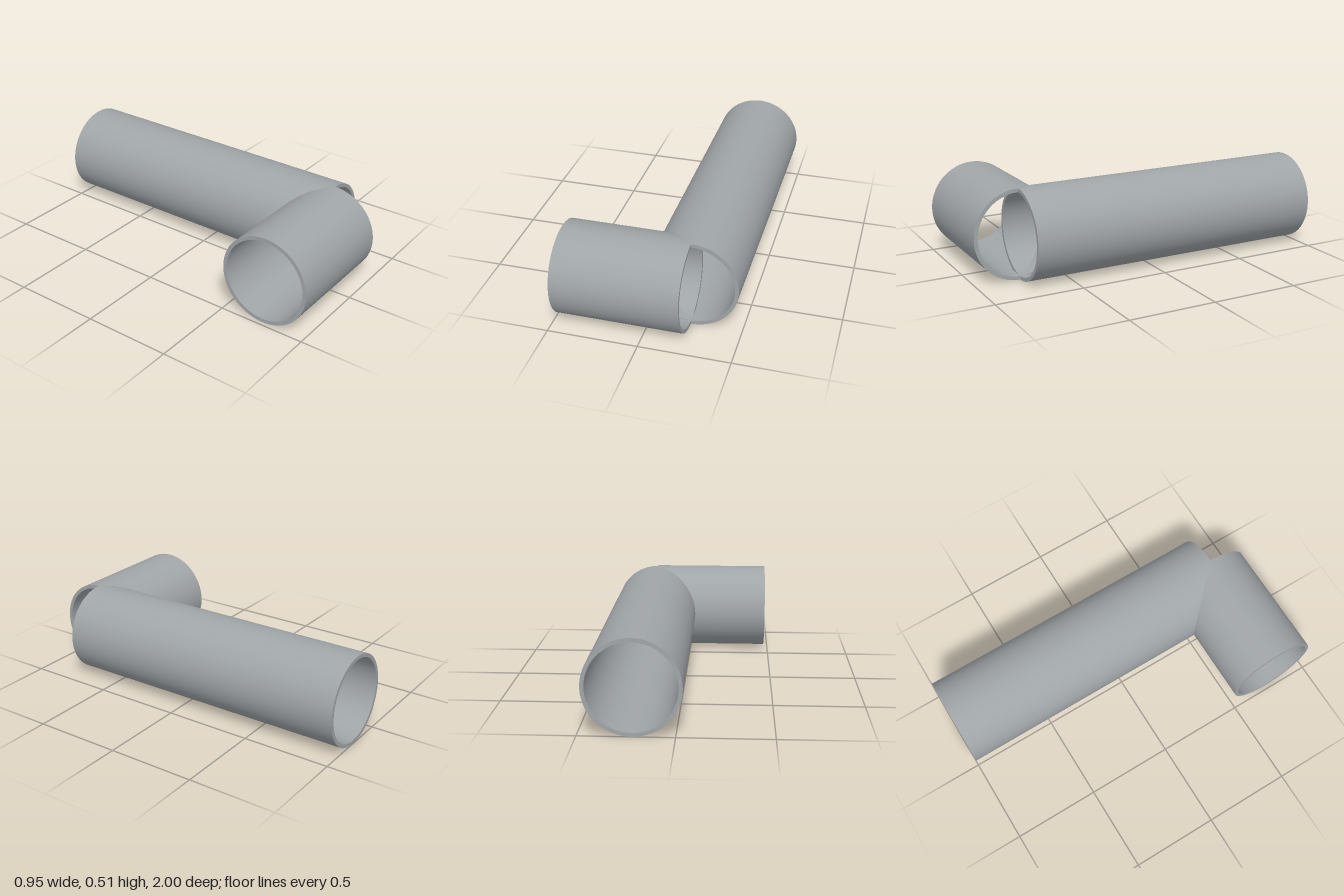
import * as THREE from 'three';
import { toCreasedNormals } from 'three/addons/utils/BufferGeometryUtils.js';

const OUTER = 0.256, INNER = 0.235;
const CORNER_X = 0.22, CORNER_Z = 0.744; // where the two pipe axes meet

// Hollow pipe standing on its lower end, with flat annular rims
function pipeGeometry(length) {
  const profile = [
    [OUTER, 0], [OUTER, length], [INNER, length], [INNER, 0], [OUTER, 0],
  ].map(([r, y]) => new THREE.Vector2(r, y));
  return toCreasedNormals(new THREE.LatheGeometry(profile, 96), 0.5);
}

export function createModel() {
  const model = new THREE.Group();
  model.name = 'pipeElbow';
  const steel = new THREE.MeshStandardMaterial({ color: 0xa0a5a8 });
  steel.name = 'steel grey';

  // Long pipe, running back from the corner
  const longPipe = new THREE.Mesh(pipeGeometry(1.744), steel);
  longPipe.name = 'longPipe';
  longPipe.rotation.x = -Math.PI / 2;
  longPipe.position.set(CORNER_X, OUTER, CORNER_Z);

  // Short pipe, running sideways from the corner
  const shortPipe = new THREE.Mesh(pipeGeometry(0.696), steel);
  shortPipe.name = 'shortPipe';
  shortPipe.rotation.z = Math.PI / 2;
  shortPipe.position.set(CORNER_X, OUTER, CORNER_Z);

  model.add(longPipe, shortPipe);
  return model;
}
